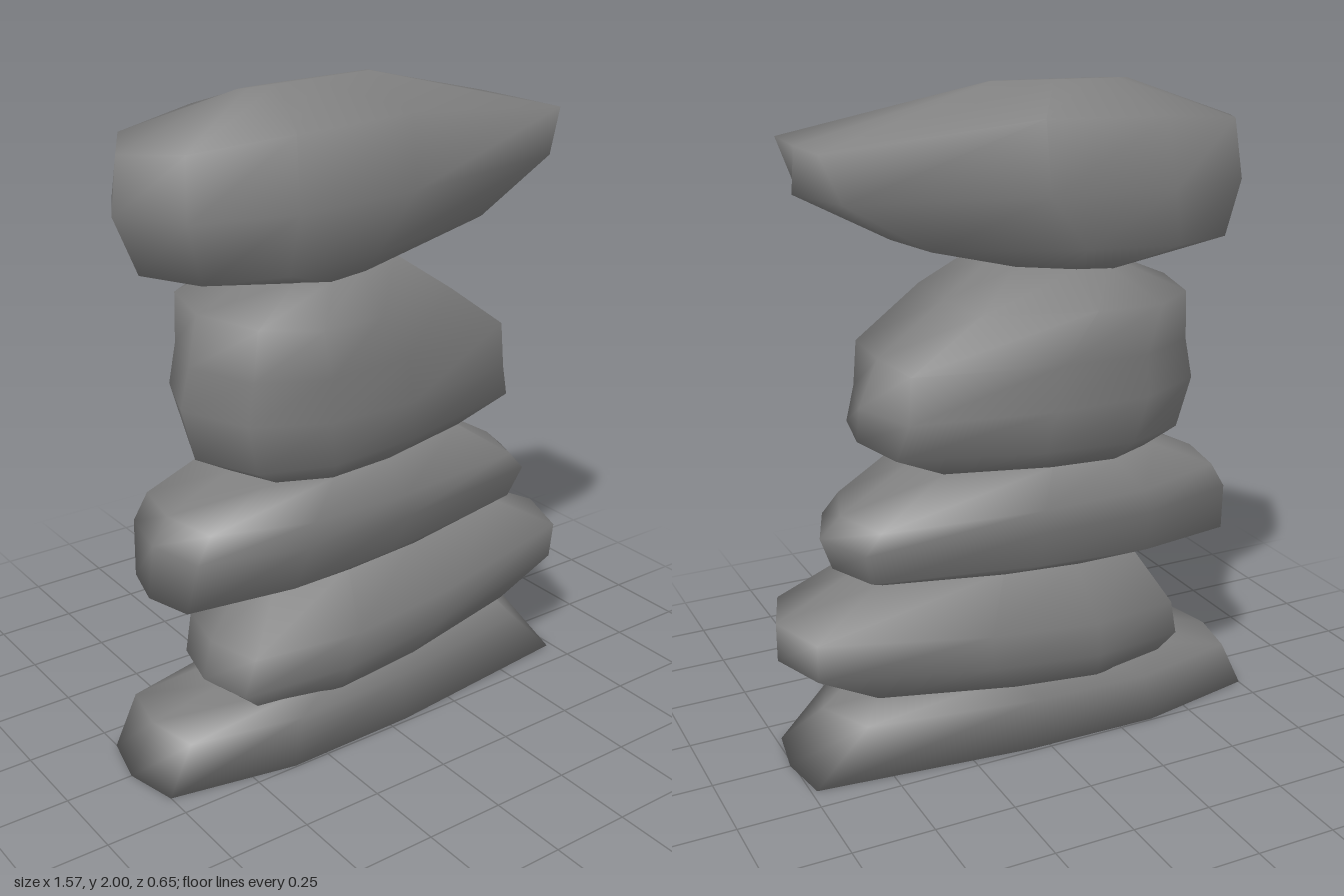
import * as THREE from 'three';

const material = new THREE.MeshStandardMaterial({ color: 0x808080 });

// Plan outline of a level as [t along the length, z share of the half depth].
// endL / endR: where the blunt ends begin, 1 being the tip.
function outline(endL, endR) {
  const half = [[-1, 0], [-endL, 0.68], [-0.45, 1], [0.1, 0.97], [endR, 0.68], [1, 0]];
  return [...half, ...half.slice(1, -1).reverse().map(([t, z]) => [t, -z])];
}

// A stone is a stack of tilted plan outlines, lowest first, with smooth normals.
// Each level: [left x, left y, right x, right y, half depth, endR, bulge of y in the middle]
function stone(name, endL, levels) {
  const n = 10;
  const pos = [];
  const index = [];
  for (const [xl, yl, xr, yr, w, endR, bulge = 0] of levels) {
    for (const [t, z] of outline(endL, endR)) {
      const k = (t + 1) / 2;
      pos.push(xl + (xr - xl) * k, yl + (yr - yl) * k + bulge * (1 - t * t), z * w);
    }
  }
  // centres of the bottom and top caps
  for (const [xl, yl, xr, yr] of [levels[0], levels.at(-1)]) {
    pos.push((xl + xr) / 2, (yl + yr) / 2, 0);
  }
  const bottom = levels.length * n;
  const last = bottom - n;
  for (let i = 0; i < n; i++) {
    const j = (i + 1) % n;
    for (let r = 0; r < last; r += n) {
      index.push(r + i, r + j, r + n + j, r + i, r + n + j, r + n + i);
    }
    index.push(bottom, j, i, bottom + 1, last + i, last + j);
  }
  const geometry = new THREE.BufferGeometry();
  geometry.setAttribute('position', new THREE.Float32BufferAttribute(pos, 3));
  geometry.setIndex(index);
  geometry.computeVertexNormals();
  const mesh = new THREE.Mesh(geometry, material);
  mesh.name = name;
  return mesh;
}

export function createModel() {
  const group = new THREE.Group();
  group.name = 'stackedStones';
  group.add(
    // wide flat slab on the ground
    stone('baseStone', 0.95, [
      [-0.79, 0, 0.76, 0, 0.245, 0.965],
      [-0.71, 0.155, 0.65, 0.17, 0.245, 0.88],
      [-0.47, 0.2, 0.55, 0.25, 0.18, 0.92],
    ]),
    // leaning stone reaching out to +x
    stone('secondStone', 0.94, [
      [-0.45, 0.17, 0.56, 0.25, 0.22, 0.93],
      [-0.53, 0.24, 0.78, 0.36, 0.25, 0.9],
      [-0.5, 0.36, 0.78, 0.48, 0.27, 0.9],
      [-0.37, 0.555, 0.53, 0.6, 0.18, 0.94],
    ]),
    // thin stone reaching out to -x
    stone('thirdStone', 0.94, [
      [-0.37, 0.555, 0.53, 0.6, 0.19, 0.92],
      [-0.7, 0.57, 0.6, 0.62, 0.22, 0.9],
      [-0.68, 0.73, 0.635, 0.72, 0.27, 0.89],
      [-0.63, 0.81, 0.57, 0.78, 0.265, 0.9],
      [-0.42, 0.9, 0.33, 0.92, 0.235, 0.94],
    ]),
    // tall block with a sloping +x shoulder
    stone('fourthStone', 0.84, [
      [-0.42, 0.9, 0.33, 0.92, 0.23, 0.94],
      [-0.53, 0.96, 0.51, 1.0, 0.29, 0.92],
      [-0.57, 1.12, 0.5, 1.1, 0.315, 0.88],
      [-0.54, 1.24, 0.44, 1.24, 0.31, 0.97],
      [-0.51, 1.39, 0.23, 1.39, 0.325, 0.96],
      [-0.3, 1.48, 0.08, 1.5, 0.21, 0.94],
    ]),
    // long capping stone with a ridge along its top
    stone('topStone', 0.85, [
      [-0.3, 1.47, 0.08, 1.5, 0.21, 0.94],
      [-0.68, 1.53, 0.39, 1.58, 0.28, 0.92],
      [-0.75, 1.7, 0.67, 1.73, 0.295, 0.9],
      [-0.73, 1.86, 0.66, 1.86, 0.265, 0.99, 0.065],
      [-0.36, 1.99, 0.08, 2.0, 0.01, 0.98],
    ]),
  );
  return group;
}
